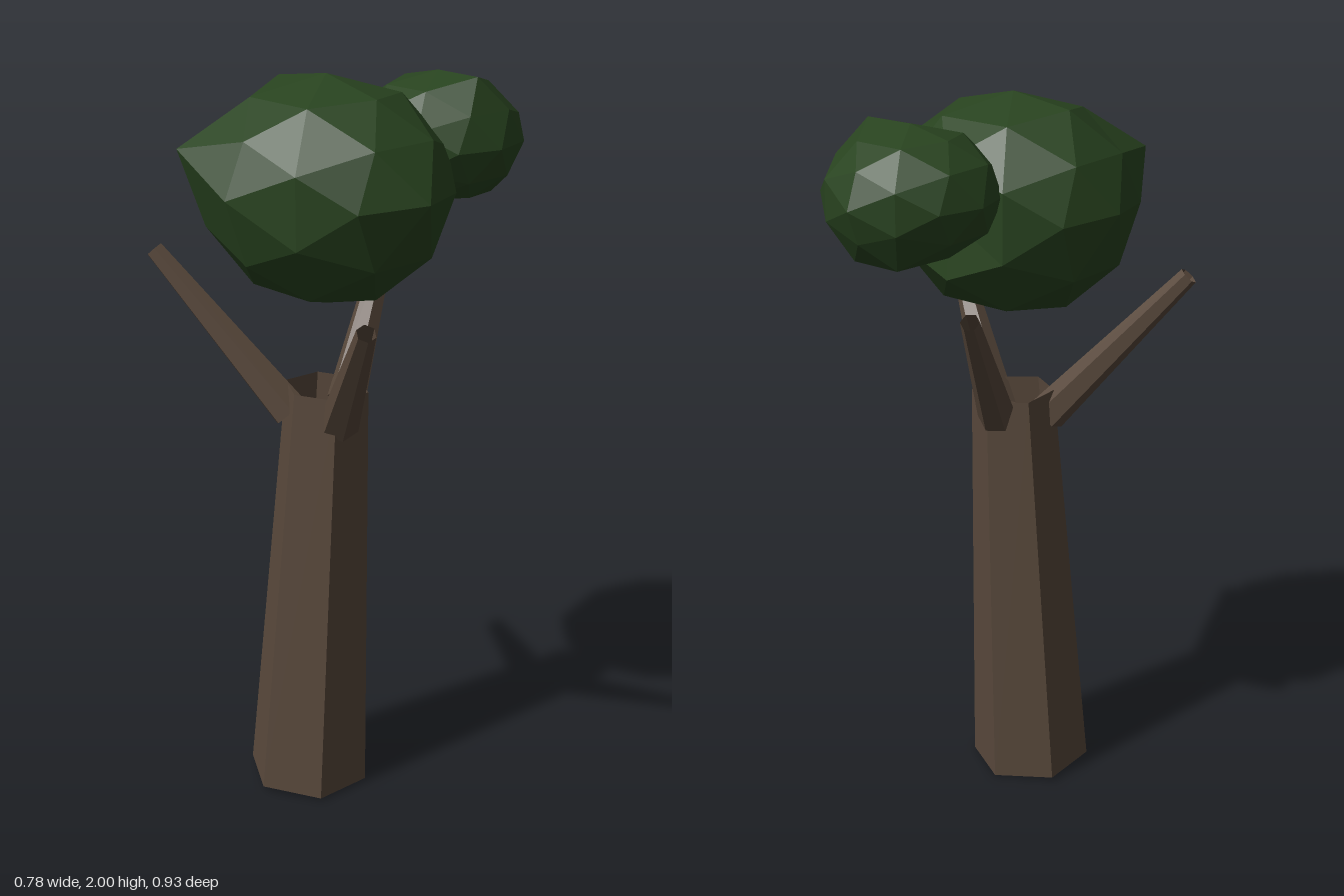
import * as THREE from 'three';

const bark = new THREE.MeshStandardMaterial({ color: 0x58483b, flatShading: true, side: THREE.DoubleSide });
const leaf = new THREE.MeshStandardMaterial({ color: 0x28431f, flatShading: true });
const UP = new THREE.Vector3(0, 1, 0);

// Open six-sided tapered tube from one point to another
function limb(name, from, to, baseRadius, tipRadius) {
  const a = new THREE.Vector3(...from), b = new THREE.Vector3(...to);
  const axis = b.clone().sub(a);
  const mesh = new THREE.Mesh(new THREE.CylinderGeometry(tipRadius, baseRadius, axis.length(), 6, 1, true), bark);
  mesh.position.copy(a).add(b).multiplyScalar(0.5);
  mesh.quaternion.setFromUnitVectors(UP, axis.normalize());
  mesh.name = name;
  return mesh;
}

// Faceted foliage ball; each nudge shifts the corner lying in a given direction
function foliage(name, center, [rx, top, bottom, rz], nudges) {
  const geometry = new THREE.IcosahedronGeometry(1, 1);
  const pos = geometry.attributes.position;
  const p = new THREE.Vector3();
  for (let i = 0; i < pos.count; i++) {
    p.fromBufferAttribute(pos, i);
    const hit = nudges.find(([dir]) => p.distanceTo(new THREE.Vector3(...dir)) < 0.1);
    p.multiply(new THREE.Vector3(rx, p.y > 0 ? top : bottom, rz));
    if (hit) p.add(new THREE.Vector3(...hit[1]));
    pos.setXYZ(i, p.x, p.y, p.z);
  }
  geometry.computeVertexNormals();
  const mesh = new THREE.Mesh(geometry, leaf);
  mesh.position.set(...center);
  mesh.name = name;
  return mesh;
}

export function createModel() {
  const tree = new THREE.Group();
  tree.name = 'tree';

  tree.add(limb('trunk', [-0.02, 0.011, 0.18], [0.02, 1.175, 0.135], 0.17, 0.115));

  // Three bare branches spreading from the top of the trunk
  tree.add(limb('rightBranch', [-0.05, 1.1, 0.2], [-0.375, 1.518, 0.387], 0.054, 0.026));
  tree.add(limb('leftBranch', [0.095, 1.095, 0.16], [0.35, 1.438, 0.305], 0.054, 0.026));
  tree.add(limb('backBranch', [0.015, 1.12, 0.06], [-0.12, 1.49, -0.217], 0.054, 0.026));

  // Large crown with a bulge at the front, and a smaller one behind
  tree.add(foliage('largeCrown', [0.02, 1.72, 0.13], [0.345, 0.28, 0.315, 0.32], [
    [[-0.5, 0.309, 0.809], [-0.025, 0.02, 0.065]],
    [[0, 0, 1], [0, 0.01, 0.015]],
    [[1, 0, 0], [0.025, 0.01, 0]],
    [[-1, 0, 0], [0, 0.01, 0]],
    [[-0.526, 0.851, 0], [0, 0.015, 0]],
    [[0, 0, -1], [0, 0, 0.06]],
  ]));
  tree.add(foliage('smallCrown', [0.057, 1.795, -0.23], [0.231, 0.175, 0.17, 0.235], [
    [[0.526, 0.851, 0], [0.02, 0.025, 0]],
    [[0.309, -0.809, -0.5], [0, -0.02, -0.02]],
    [[-0.309, -0.809, -0.5], [0, -0.02, -0.02]],
  ]));

  return tree;
}
